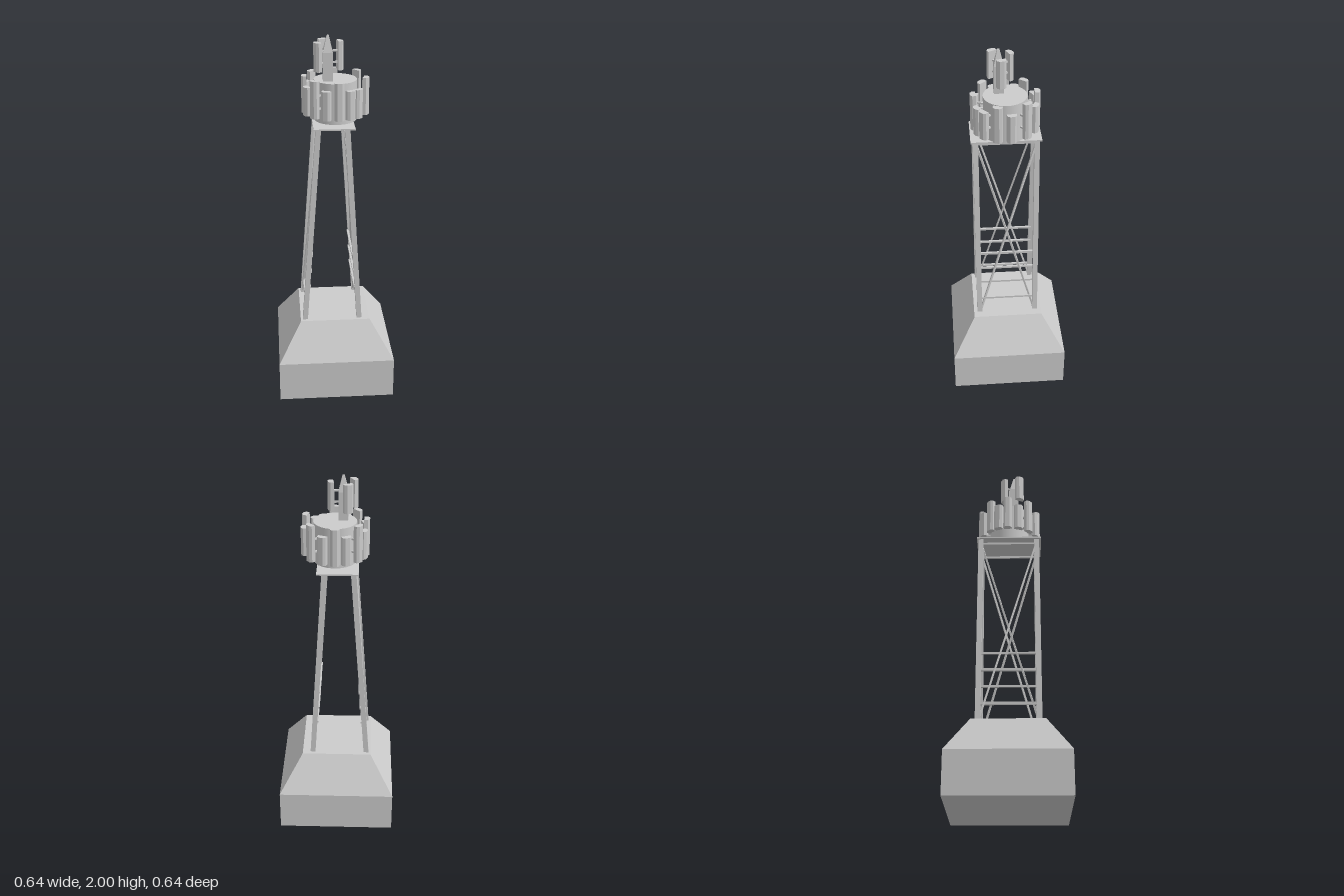
import * as THREE from 'three';

const material = new THREE.MeshStandardMaterial({ color: 0xcccccc, flatShading: true });
const smooth = new THREE.MeshStandardMaterial({ color: 0xcccccc });

function add(parent, name, geometry, x = 0, y = 0, z = 0, mat = material) {
  const mesh = new THREE.Mesh(geometry, mat);
  mesh.name = name;
  mesh.position.set(x, y, z);
  parent.add(mesh);
  return mesh;
}

const box = (w, h, d) => new THREE.BoxGeometry(w, h, d);

// Square frustum with half-widths at the top and bottom
function frustum(top, bottom, height) {
  const g = new THREE.CylinderGeometry(top * Math.SQRT2, bottom * Math.SQRT2, height, 4);
  return g.rotateY(Math.PI / 4);
}

// Square bar between two points
function bar(parent, name, from, to, size) {
  const a = new THREE.Vector3(...from), b = new THREE.Vector3(...to);
  const mesh = add(parent, name, box(size, size, a.distanceTo(b)));
  mesh.position.copy(a).lerp(b, 0.5);
  mesh.lookAt(b);
}

// Panel antenna on two arms, facing outward at an angle around a centre
function antenna(parent, name, cx, cz, degrees, start, reach, y0, y1, armHeights) {
  const group = new THREE.Group();
  group.name = name;
  group.position.set(cx, 0, cz);
  group.rotation.y = -THREE.MathUtils.degToRad(degrees);
  const outline = [[0, -0.025], [0.019, -0.024], [0.029, -0.012], [0.029, 0.012], [0.019, 0.024], [0, 0.025]];
  const shape = new THREE.Shape(outline.map(([x, y]) => new THREE.Vector2(x, y)));
  const panel = new THREE.ExtrudeGeometry(shape, { depth: y1 - y0, bevelEnabled: false });
  add(group, 'antennaPanel', panel.rotateX(-Math.PI / 2), reach, y0, 0);
  for (const y of armHeights)
    add(group, 'antennaArm', box(reach - start, 0.009, 0.009), (start + reach) / 2, y, 0);
  parent.add(group);
}

export function createModel() {
  const model = new THREE.Group();
  model.name = 'antennaTower';

  // Stepped foundation block
  add(model, 'baseBlock', box(0.64, 0.23, 0.64), 0, 0.115, 0);
  add(model, 'baseSlope', frustum(0.193, 0.32, 0.2), 0, 0.33, 0);

  // Leaning legs with bracing between front and back on each side
  const bottom = 0.42, top = 1.542, zFront = 0.16, zBack = -0.158;
  for (const [xBottom, xTop] of [[-0.168, -0.087], [0.136, 0.064]]) {
    const legX = y => xBottom + (xTop - xBottom) * (y - bottom) / (top - bottom);
    const inward = -Math.sign(xBottom);
    for (const z of [zFront, zBack]) {
      const leg = box(0.028, top - bottom, 0.028);
      const p = leg.attributes.position;
      for (let i = 0; i < p.count; i++) {
        const y = p.getY(i) + (top + bottom) / 2;
        p.setXYZ(i, p.getX(i) + legX(y), y, p.getZ(i) + z);
      }
      leg.computeVertexNormals();
      add(model, 'leg', leg);
    }
    for (const y of [0.52, 0.625, 0.72, 0.82, 1.517]) {
      const x = legX(y) + (y > 0.6 && y < 1 ? inward * 0.014 : 0);
      bar(model, 'crossRail', [x, y, zFront], [x, y, zBack], 0.011);
    }
    for (const side of [1, -1]) {
      const zs = side > 0 ? [zFront, zBack] : [zBack, zFront];
      const shift = side * 0.004;
      bar(model, 'diagonalBrace', [legX(0.44) + shift, 0.44, zs[0] * 0.95],
        [legX(1.5) + shift, 1.5, zs[1] * 0.95], 0.01);
    }
  }

  // Platform and equipment drum
  add(model, 'platform', box(0.216, 0.008, 0.367), -0.004, 1.546, 0.0025);
  add(model, 'drum', new THREE.CylinderGeometry(0.1125, 0.1125, 0.216, 48), 0.012, 1.658, 0.003, smooth);

  // Ring of alternating tall and short antennas
  const angles = [-8, 17.5, 46, 64.5, 86.5, 111, 136, 160, 183, 202, 221, 247.5, 269, 293, 320];
  const tall = [1, 4, 6, 8, 10, 12, 14];
  angles.forEach((angle, i) => antenna(model, 'ringAntenna', 0.012, 0.003, angle,
    0.108, 0.149, 1.588, tall.includes(i) ? 1.785 : 1.74, [1.63, 1.7]));

  // Central mast with pointed cap and three antennas
  add(model, 'mast', box(0.05, 0.155, 0.05), -0.029, 1.8375, 0.033);
  add(model, 'mastCap', frustum(0.0055, 0.025, 0.085), -0.029, 1.9575, 0.033);
  for (const angle of [-114, -10, 150])
    antenna(model, 'mastAntenna', -0.029, 0.033, angle, 0.015, 0.051, 1.82, 1.97, [1.86, 1.92]);

  return model;
}
